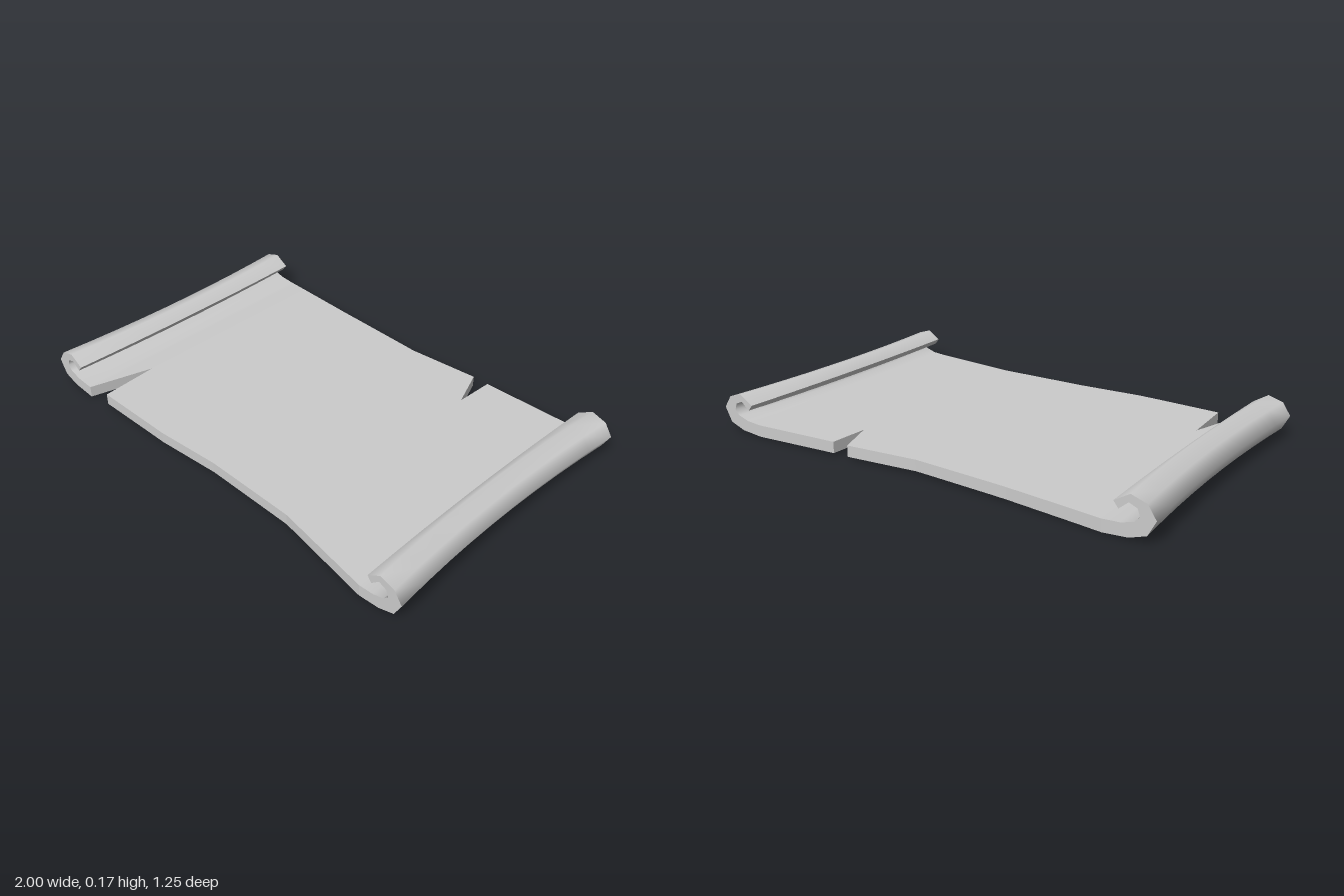
import * as THREE from 'three';
import { mergeGeometries } from 'three/addons/utils/BufferGeometryUtils.js';

// Torn outlines of the sheet as [x, z]; the sharp dips are the two rips
const FRONT = [[-0.79, 0.6], [-0.71, 0.33], [-0.695, 0.583], [-0.32, 0.583], [-0.03, 0.56], [0.38, 0.56], [0.8, 0.62]];
const BACK = [[-0.8, -0.61], [-0.4, -0.587], [0.02, -0.572], [0.335, -0.605], [0.4, -0.435], [0.408, -0.605], [0.8, -0.625]];

// Curl section from its tip to the flat sheet: [inner x, inner y, outer x, outer y]
const CURL = [
  [0.86, 0.107, 0.84, 0.132], [0.897, 0.139, 0.902, 0.17], [0.93, 0.125, 0.965, 0.15],
  [0.94, 0.097, 1, 0.098], [0.92, 0.075, 0.968, 0.037], [0.87, 0.06, 0.9, 0.013], [0.8, 0.055, 0.8, 0.005],
];
const ROWS = 10;

// Piecewise linear lookup, constant beyond both ends
function lookup(table, x) {
  if (x <= table[0][0]) return table[0][1];
  for (let i = 1; i < table.length; i++) {
    const [x0, z0] = table[i - 1], [x1, z1] = table[i];
    if (x <= x1) return THREE.MathUtils.lerp(z0, z1, (x - x0) / (x1 - x0));
  }
  return table[table.length - 1][1];
}

// Surface through point(u, v) on a grid of nu by nv points
function patch(nu, nv, point, smooth) {
  const pos = [], index = [];
  for (let u = 0; u < nu; u++) for (let v = 0; v < nv; v++) pos.push(...point(u, v));
  for (let u = 0; u < nu - 1; u++) {
    for (let v = 0; v < nv - 1; v++) {
      const a = u * nv + v, b = a + nv;
      index.push(a, a + 1, b, a + 1, b + 1, b);
    }
  }
  let geo = new THREE.BufferGeometry();
  geo.setAttribute('position', new THREE.Float32BufferAttribute(pos, 3));
  geo.setIndex(index);
  if (smooth) geo.computeVertexNormals();
  geo = geo.toNonIndexed();
  if (!smooth) geo.computeVertexNormals();
  return geo;
}

export function createModel() {
  // Columns from the left-hand tip, along the slightly bowed sheet, to the other tip
  const inner = [...FRONT, ...BACK].map(p => p[0]).filter(x => Math.abs(x) < 0.8).sort((a, b) => a - b);
  const columns = [
    ...CURL.map(([ix, iy, ox, oy]) => [-ix, iy, -ox, oy]),
    ...inner.map(x => {
      const bow = 1 - (x / 0.8) ** 2;
      return [x, 0.055 + 0.009 * bow, x, 0.005 + 0.012 * bow];
    }),
    ...[...CURL].reverse(),
  ];

  // Point on the inner (side 0) or outer (side 1) surface; t runs back to front
  const point = (c, side, t) => {
    const x = columns[c][side * 2], y = columns[c][side * 2 + 1];
    const z = THREE.MathUtils.lerp(lookup(BACK, x), lookup(FRONT, x), t);
    // The rolled ends are pinched inward halfway along
    const weight = THREE.MathUtils.clamp((Math.abs(x) - 0.8) / 0.1, 0, 1);
    const k = 1 - (2 * t - 1) ** 2;
    const shift = x < 0 ? 0.026 * k : -0.03 * k - 0.01 * t;
    return [x + shift * weight, y, z];
  };

  const n = columns.length, last = n - 1, r = ROWS - 1;
  const geometry = mergeGeometries([
    patch(n, ROWS, (u, v) => point(u, 0, v / r), true), // upper face
    patch(n, ROWS, (u, v) => point(u, 1, 1 - v / r), true), // lower face
    patch(n, 2, (u, v) => point(u, v, 1), false), // front edge
    patch(n, 2, (u, v) => point(u, 1 - v, 0), false), // back edge
    patch(ROWS, 2, (u, v) => point(0, v, u / r), false), // curl lips
    patch(ROWS, 2, (u, v) => point(last, 1 - v, u / r), false),
  ]);

  const scroll = new THREE.Mesh(geometry, new THREE.MeshStandardMaterial({ color: 0xcccccc }));
  scroll.name = 'parchmentSheet';
  const group = new THREE.Group();
  group.name = 'scroll';
  group.add(scroll);
  return group;
}
